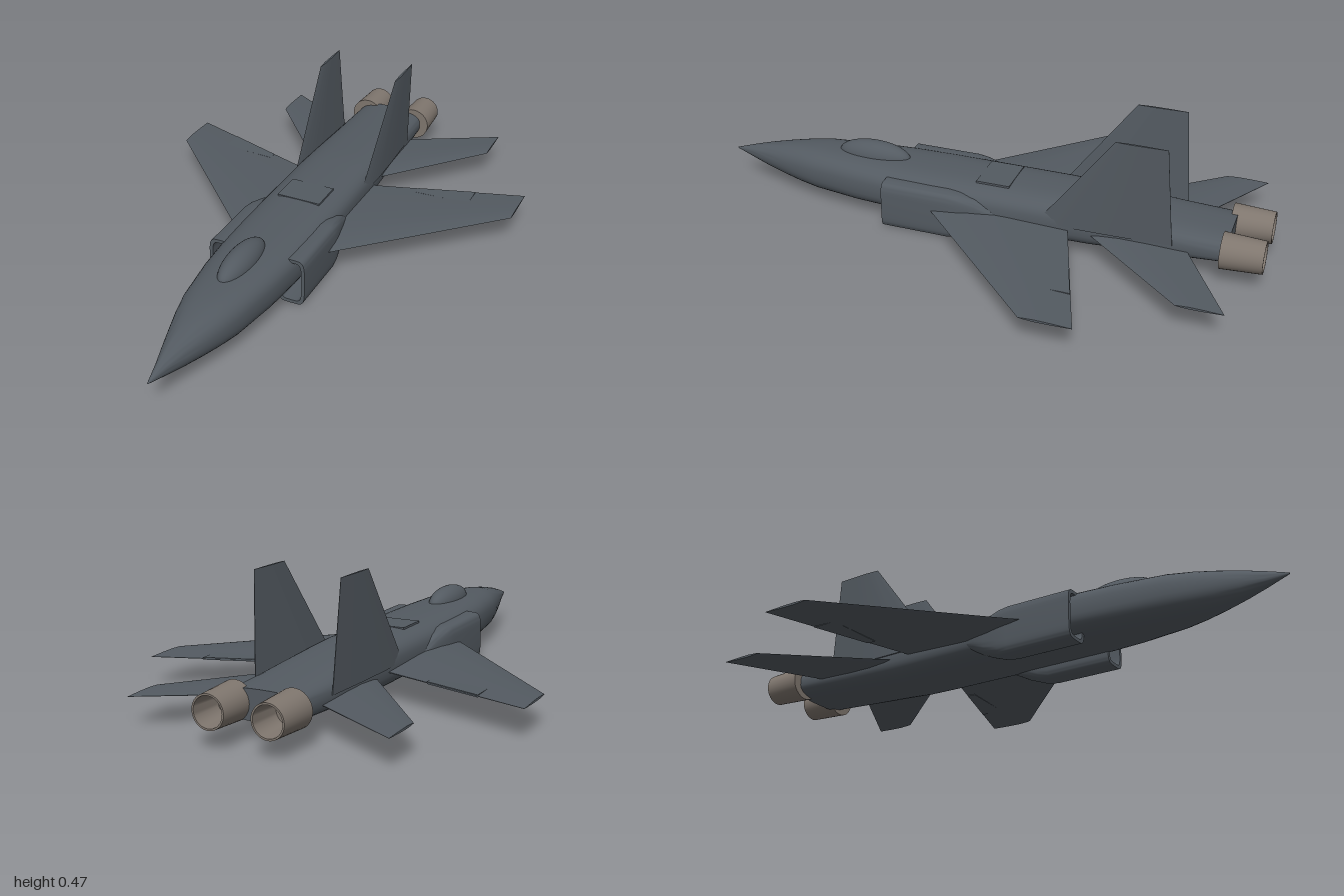
import * as THREE from 'three';
import { toCreasedNormals } from 'three/addons/utils/BufferGeometryUtils.js';

const bodyGrey = new THREE.MeshStandardMaterial({ color: 0x535a61 });
bodyGrey.name = 'bodyGrey';
const nozzleMetal = new THREE.MeshStandardMaterial({ color: 0x7f766e });
nozzleMetal.name = 'nozzleMetal';

// Skin a list of equal-length rings and cap both ends, facing outwards
function loft(rings, crease = 0.6) {
  const tris = [];
  const n = rings[0].length;
  for (let i = 0; i < rings.length - 1; i++) {
    for (let j = 0; j < n; j++) {
      const k = (j + 1) % n;
      const a = rings[i][j], b = rings[i][k], c = rings[i + 1][j], d = rings[i + 1][k];
      tris.push([a, c, b], [c, d, b]);
    }
  }
  const cap = (ring, flip) => {
    const mid = new THREE.Vector3();
    ring.forEach((p) => mid.addScaledVector(p, 1 / n));
    ring.forEach((p, j) => {
      const q = ring[(j + 1) % n];
      tris.push(flip ? [mid, q, p] : [mid, p, q]);
    });
  };
  cap(rings[0], false);
  cap(rings[rings.length - 1], true);

  // A negative volume means the skin is inside out
  const cross = new THREE.Vector3();
  let volume = 0;
  for (const [a, b, c] of tris) volume += a.dot(cross.crossVectors(b, c));
  const points = tris.flatMap(([a, b, c]) => (volume < 0 ? [a, c, b] : [a, b, c]));
  return toCreasedNormals(new THREE.BufferGeometry().setFromPoints(points), crease);
}

// Superellipse cross-section between the given limits
function section(z, x0, x1, y0, y1, power, count = 40) {
  const ring = [];
  const bend = (v) => Math.sign(v) * Math.pow(Math.abs(v), 2 / power);
  for (let i = 0; i < count; i++) {
    const t = (i / count) * Math.PI * 2;
    ring.push(new THREE.Vector3(
      (x0 + x1) / 2 + (bend(Math.cos(t)) * (x1 - x0)) / 2,
      (y0 + y1) / 2 + (bend(Math.sin(t)) * (y1 - y0)) / 2, z));
  }
  return ring;
}

// Thin aerofoil: root and tip are { x, y, front, back, half }
const FOIL = [[0, 0], [0.08, 0.5], [0.3, 1], [0.6, 0.8], [1, 0.12],
  [1, -0.12], [0.6, -0.8], [0.3, -1], [0.08, -0.5]];
function foil(root, tip, upright, side) {
  return loft([root, tip].map((s) => FOIL.map(([u, t]) => {
    const z = s.front + (s.back - s.front) * u;
    return upright
      ? new THREE.Vector3(side * (s.x + t * s.half), s.y, z)
      : new THREE.Vector3(side * s.x, s.y + t * s.half, z);
  })), 0.5);
}

export function createModel() {
  const model = new THREE.Group();
  model.name = 'jetAircraft';
  const add = (name, geometry, material = bodyGrey) => {
    const mesh = new THREE.Mesh(geometry, material);
    mesh.name = name;
    model.add(mesh);
    return mesh;
  };

  // Fuselage: z, half width, bottom, top, squareness
  const stations = [
    [0.995, 0.002, 0.113, 0.117, 2], [0.92, 0.022, 0.088, 0.141, 2],
    [0.85, 0.044, 0.069, 0.160, 2.1], [0.77, 0.068, 0.053, 0.177, 2.2],
    [0.70, 0.088, 0.044, 0.188, 2.4], [0.62, 0.107, 0.038, 0.195, 2.6],
    [0.45, 0.130, 0.035, 0.197, 2.9], [0.30, 0.142, 0.035, 0.197, 3],
    [0.15, 0.147, 0.035, 0.197, 3], [-0.30, 0.143, 0.035, 0.197, 3],
    [-0.42, 0.141, 0.037, 0.192, 3], [-0.70, 0.135, 0.056, 0.173, 3],
    [-0.88, 0.128, 0.067, 0.166, 3],
  ];
  add('fuselage', loft(stations.map(([z, w, y0, y1, p]) => section(z, -w, w, y0, y1, p))));

  // Canopy bubble and the panel on the back
  const canopy = add('canopy', new THREE.SphereGeometry(1, 32, 20));
  canopy.scale.set(0.049, 0.054, 0.138);
  canopy.position.set(0, 0.189, 0.42);
  add('dorsalPanel', new THREE.BoxGeometry(0.16, 0.008, 0.12)).position.set(0, 0.195, -0.06);

  // Nozzle profile: radius, position along the axis, hollow towards the rear
  const nozzleProfile = [[0, -0.03], [0.042, -0.03], [0.049, -0.14], [0.055, -0.14],
    [0.062, 0], [0, 0]].map(([r, y]) => new THREE.Vector2(r, y));

  for (const side of [1, -1]) {
    const label = side > 0 ? 'left' : 'right';

    // Hollow air intake, from the back of the duct round the lip to the tail end
    const duct = [
      [0.15, 0.092, 0.166, 0.015, 0.163, 5], [0.32, 0.092, 0.166, 0.015, 0.163, 5],
      [0.32, 0.080, 0.178, 0.003, 0.175, 5], [0.08, 0.080, 0.178, 0.003, 0.175, 5],
      [0.04, 0.080, 0.174, 0.008, 0.172, 4.5], [-0.02, 0.080, 0.163, 0.030, 0.158, 4],
      [-0.07, 0.080, 0.152, 0.055, 0.138, 3], [-0.12, 0.080, 0.138, 0.080, 0.118, 2.5],
    ];
    add(label + 'Intake', loft(duct.map(([z, a, b, y0, y1, p]) =>
      section(z, side * a, side * b, y0, y1, p))));

    // Wing, with its control flap as a thin raised plate
    add(label + 'Wing', foil(
      { x: 0.10, y: 0.106, front: 0.21, back: -0.337, half: 0.013 },
      { x: 0.67, y: 0.104, front: -0.355, back: -0.525, half: 0.004 }, false, side));
    const flap = [[0.3, -0.37], [0.5, -0.38], [0.5, -0.467], [0.3, -0.401]];
    add(label + 'Flap', loft([0.1005, 0.1085].map((y) =>
      flap.map(([x, z]) => new THREE.Vector3(side * x, y, z)))));

    // Tailplane
    add(label + 'Tailplane', foil(
      { x: 0.10, y: 0.103, front: -0.382, back: -0.737, half: 0.010 },
      { x: 0.44, y: 0.101, front: -0.78, back: -0.932, half: 0.004 }, false, side));

    // Upright fin
    add(label + 'Fin', foil(
      { x: 0.135, y: 0.12, front: -0.24, back: -0.703, half: 0.011 },
      { x: 0.150, y: 0.47, front: -0.50, back: -0.672, half: 0.004 }, true, side));

    // Engine nozzle
    const nozzle = add(label + 'Nozzle',
      toCreasedNormals(new THREE.LatheGeometry(nozzleProfile, 32), 0.6), nozzleMetal);
    nozzle.rotation.x = Math.PI / 2;
    nozzle.position.set(side * 0.1, 0.118, -0.86);
  }
  return model;
}
